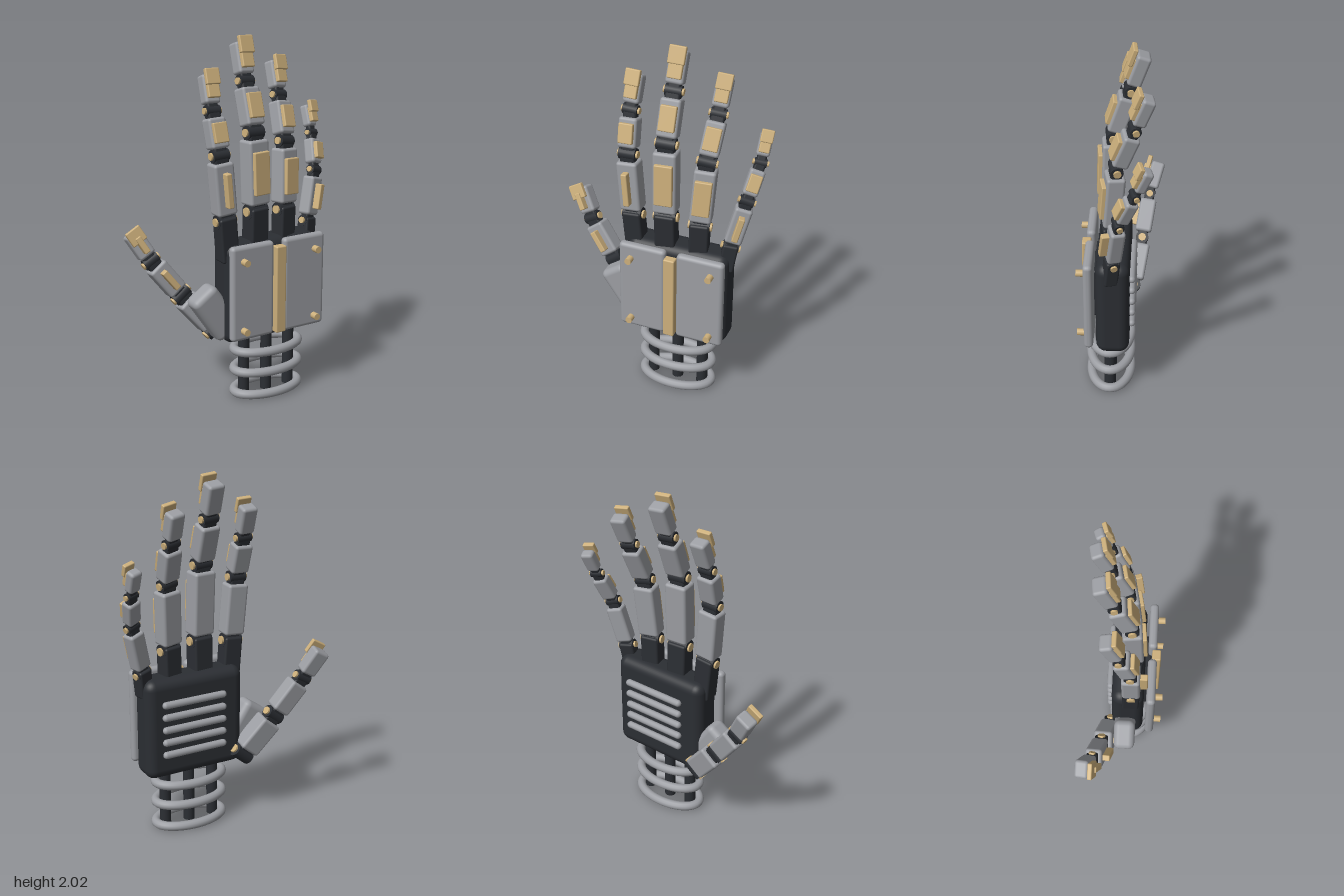
import * as THREE from 'three';
import { RoundedBoxGeometry } from 'three/addons/geometries/RoundedBoxGeometry.js';

const steel = new THREE.MeshStandardMaterial({ color: 0x9c9ea3 });
const dark = new THREE.MeshStandardMaterial({ color: 0x2b2e33 });
const gold = new THREE.MeshStandardMaterial({ color: 0xcdb07c });
const V = (a) => new THREE.Vector3(...a);

function add(parent, name, geometry, material, x = 0, y = 0, z = 0) {
  const mesh = new THREE.Mesh(geometry, material);
  mesh.name = name;
  mesh.position.set(x, y, z);
  parent.add(mesh);
  return mesh;
}

const box = (w, h, d, r = 0.012) =>
  new RoundedBoxGeometry(w, h, d, 2, Math.min(r, w * 0.45, h * 0.45, d * 0.45));

// Group at point a with local y toward b and local z toward the front direction
function frameBetween(parent, name, a, b, front) {
  const group = new THREE.Group();
  const y = b.clone().sub(a).normalize();
  const x = y.clone().cross(front).normalize();
  const z = x.clone().cross(y);
  group.quaternion.setFromRotationMatrix(new THREE.Matrix4().makeBasis(x, y, z));
  group.position.copy(a);
  group.name = name;
  parent.add(group);
  return group;
}

// Dark hinge barrel with a gold pin showing at both ends
function hinge(parent, width, radius) {
  const barrel = new THREE.CylinderGeometry(radius, radius, width, 20).rotateZ(Math.PI / 2);
  const pin = new THREE.CylinderGeometry(radius * 0.6, radius * 0.6, width + 0.022, 16).rotateZ(Math.PI / 2);
  add(parent, 'hingeBarrel', barrel, dark);
  add(parent, 'hingePin', pin, gold);
}

// Chain of three hinged segments through four points
function digit(parent, { name, points, front, width, ridge = [] }) {
  const group = new THREE.Group();
  group.name = name;
  parent.add(group);
  const p = points.map(V);
  for (let i = 0; i < 3; i++) {
    const tip = i === 2;
    const w = width * [1, 0.88, 0.76][i];
    const d = w * [0.82, 0.82, 0.78][i];
    const length = p[i].distanceTo(p[i + 1]);
    const segment = frameBetween(group, ['lowerSegment', 'middleSegment', 'tipSegment'][i], p[i], p[i + 1], V(front));
    hinge(segment, w * 0.9, w * 0.32);
    const start = 0.035, end = tip ? length : length - 0.038;
    const shell = end - start, mid = (start + end) / 2;
    add(segment, 'shell', box(w, shell, d, 0.016), steel, 0, mid, 0);
    // Dark link running through the shell to the next hinge
    const core = tip ? length * 0.6 : length;
    add(segment, 'link', box(w * 0.72, core, d * 0.6), dark, 0, core / 2, 0);
    if (ridge[i]) {
      add(segment, 'ridge', box(0.034, shell * 0.66, 0.055, 0.006), gold, 0, mid, d / 2 + 0.012);
    } else {
      add(segment, 'frontPlate', box(w * 0.78, shell * 0.66, 0.03, 0.006), gold, 0, mid, d / 2 + 0.006);
    }
    if (tip) {
      add(segment, 'nail', box(w * 0.92, shell * 0.55, 0.026, 0.006), gold, 0, end - shell * 0.12, d / 2 + 0.018);
    }
  }
  return group;
}

export function createModel() {
  const hand = new THREE.Group();
  hand.name = 'mechanicalHand';

  // Wrist: three rods inside three oval rings
  const wrist = new THREE.Group();
  wrist.name = 'wrist';
  hand.add(wrist);
  for (const x of [0.01, 0.16, 0.31]) {
    add(wrist, 'wristRod', new THREE.CylinderGeometry(0.032, 0.032, 0.38, 20), dark, x, 0.2, 0.065);
  }
  const oval = new THREE.CatmullRomCurve3(
    Array.from({ length: 24 }, (_, i) => {
      const a = (i / 24) * Math.PI * 2;
      return new THREE.Vector3(Math.cos(a) * 0.204, 0, Math.sin(a) * 0.114);
    }), true);
  for (const y of [0.028, 0.16, 0.282]) {
    add(wrist, 'wristRing', new THREE.TubeGeometry(oval, 64, 0.026, 12, true), steel, 0.16, y, 0.065);
  }

  // Palm block with ribs on its rear face
  add(hand, 'palm', new RoundedBoxGeometry(0.59, 0.575, 0.18, 4, 0.055), dark, 0.162, 0.635, 0.045);
  for (let i = 0; i < 5; i++) {
    const rib = new THREE.CapsuleGeometry(0.02, 0.35, 6, 12).rotateZ(Math.PI / 2);
    add(hand, 'palmRib', rib, steel, 0.18, 0.495 + i * 0.073, -0.056);
  }

  // Front cover: two plates, centre bar and corner studs
  for (const [x, studX] of [[-0.009, -0.073], [0.326, 0.39]]) {
    add(hand, 'coverPlate', new RoundedBoxGeometry(0.271, 0.54, 0.05, 4, 0.022), steel, x, 0.66, 0.174);
    for (const y of [0.45, 0.845]) {
      const stud = new THREE.CylinderGeometry(0.019, 0.019, 0.045, 16).rotateX(Math.PI / 2);
      add(hand, 'stud', stud, gold, studX, y, 0.217);
    }
  }
  add(hand, 'centreBar', box(0.064, 0.5, 0.05, 0.008), gold, 0.158, 0.65, 0.196);
  add(hand, 'coverMount', box(0.3, 0.3, 0.05), dark, 0.16, 0.65, 0.145);

  // Fingers, each standing on a dark post
  const fingers = [
    { name: 'indexFinger', width: 0.12, front: [0, 0, 1], ridge: [true], base: [-0.09, 0.82, 0.06],
      points: [[-0.11, 1.05, 0.065], [-0.14, 1.41, 0.06], [-0.148, 1.64, 0], [-0.141, 1.82, -0.065]] },
    { name: 'middleFinger', width: 0.13, front: [0.1, 0, 1], base: [0.085, 0.82, 0.06],
      points: [[0.083, 1.08, 0.07], [0.077, 1.51, 0.055], [0.079, 1.775, -0.035], [0.085, 1.97, -0.105]] },
    { name: 'ringFinger', width: 0.12, front: [0.2, 0, 1], base: [0.27, 0.82, 0.06],
      points: [[0.275, 1.06, 0.06], [0.295, 1.435, 0.03], [0.315, 1.675, -0.065], [0.325, 1.85, -0.135]] },
    { name: 'littleFinger', width: 0.095, front: [0.3, 0, 1], ridge: [true], base: [0.425, 0.82, 0.06],
      points: [[0.445, 0.96, 0.045], [0.513, 1.24, 0.01], [0.55, 1.435, -0.075], [0.558, 1.58, -0.14]] },
  ];
  for (const finger of fingers) {
    const a = V(finger.base), b = V(finger.points[0]);
    const post = frameBetween(hand, finger.name + 'Post', a, b, V(finger.front));
    const length = a.distanceTo(b) + 0.02;
    add(post, 'post', box(finger.width * 0.88, length, finger.width * 0.78), dark, 0, length / 2, 0);
    digit(hand, finger);
  }

  // Thumb with its mounting pad on the side of the palm
  const pad = add(hand, 'thumbPad', new RoundedBoxGeometry(0.17, 0.31, 0.12, 3, 0.035), steel, -0.165, 0.525, 0.033);
  pad.rotation.z = 0.6;
  digit(hand, {
    name: 'thumb', width: 0.13, front: [-0.1, 0.15, 1], ridge: [true, true, true],
    points: [[-0.12, 0.4, -0.05], [-0.3, 0.615, -0.095], [-0.46, 0.825, -0.135], [-0.55, 0.985, -0.185]],
  });

  return hand;
}
